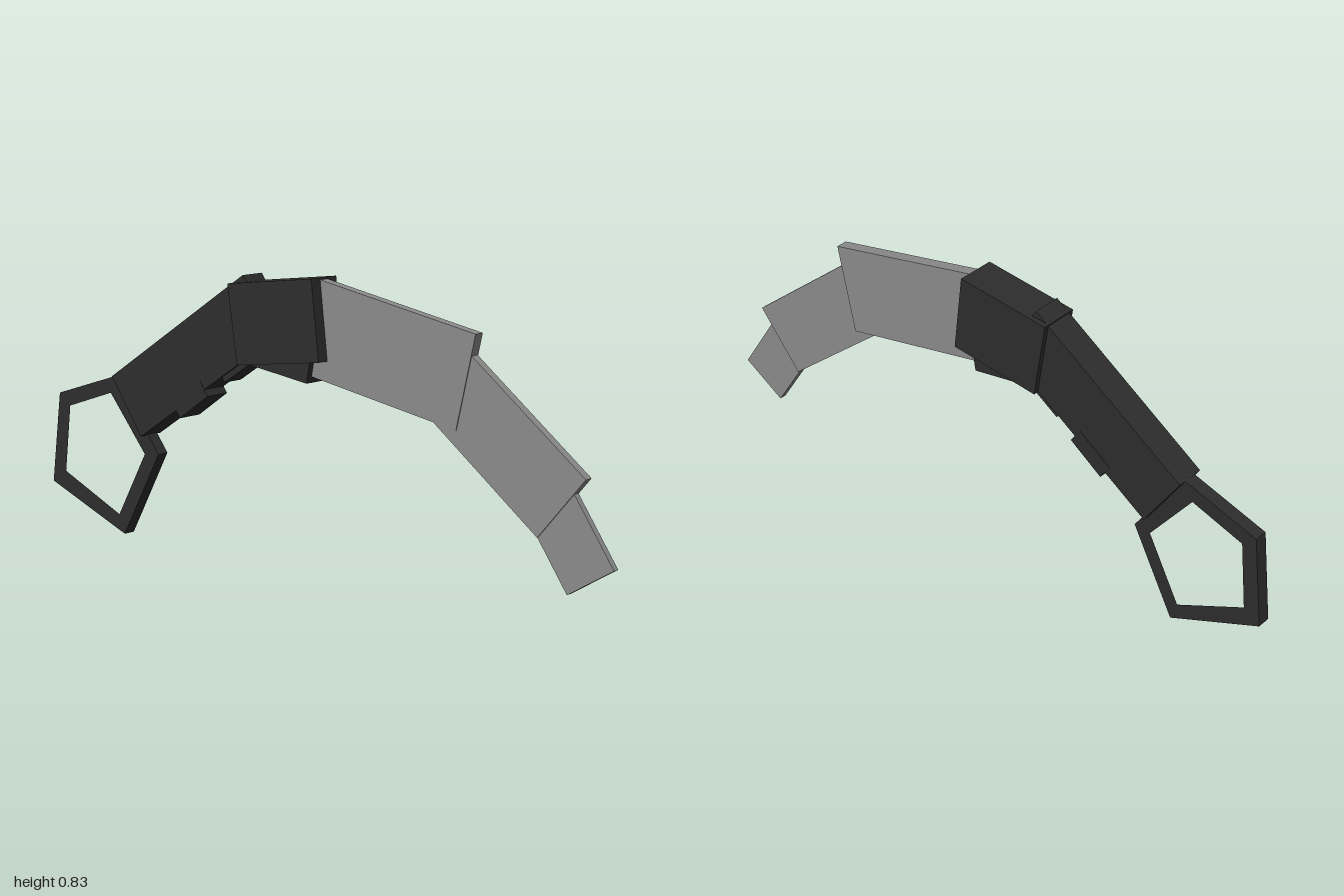
import * as THREE from 'three';

const steel = new THREE.MeshStandardMaterial({ color: 0x8c8c8c });
const dark = new THREE.MeshStandardMaterial({ color: 0x2d2d2d });

// Flat plate: a side outline of [z, y] points, given thickness across x
function plate(name, halfWidth, material, outline, hole) {
  const toPoints = (list) => list.map(([z, y]) => new THREE.Vector2(-z, y));
  const shape = new THREE.Shape(toPoints(outline));
  if (hole) shape.holes.push(new THREE.Path(toPoints(hole)));
  const geometry = new THREE.ExtrudeGeometry(shape, { depth: halfWidth * 2, bevelEnabled: false });
  geometry.translate(0, 0, -halfWidth);
  geometry.rotateY(Math.PI / 2);
  const mesh = new THREE.Mesh(geometry, material);
  mesh.name = name;
  return mesh;
}

export function createModel() {
  const model = new THREE.Group();
  model.name = 'curvedKnife';

  // Blade: three overlapping slabs, thinner towards the tip
  const blade = new THREE.Group();
  blade.name = 'blade';
  blade.add(
    plate('bladeBase', 0.018, steel, [[0.564, 0.711], [0.503, 0.44], [-0.02, 0.555], [0.037, 0.829]]),
    plate('bladeMiddle', 0.015, steel, [[0.912, 0.348], [0.765, 0.173], [0.37, 0.503], [0.515, 0.679]]),
    plate('bladeTip', 0.011, steel, [[1, 0.112], [0.858, 0.027], [0.719, 0.241], [0.861, 0.326]]),
  );

  // Guard block with a narrower piece below it
  const guard = new THREE.Group();
  guard.name = 'guard';
  guard.add(
    plate('guardBlock', 0.06, dark, [[0.04, 0.834], [0.066, 0.597], [-0.229, 0.567], [-0.263, 0.803]]),
    plate('guardUnderside', 0.038, dark, [[0.023, 0.62], [0.007, 0.53], [-0.223, 0.572], [-0.208, 0.655]]),
  );

  // Grip with two finger ridges on its lower edge
  const handle = new THREE.Group();
  handle.name = 'handle';
  handle.add(
    plate('grip', 0.045, dark, [[-0.218, 0.829], [-0.103, 0.655], [-0.614, 0.316], [-0.728, 0.491]]),
    plate('frontRidge', 0.038, dark, [[-0.218, 0.615], [-0.191, 0.575], [-0.293, 0.508], [-0.32, 0.548]]),
    plate('rearRidge', 0.046, dark, [[-0.381, 0.508], [-0.352, 0.462], [-0.459, 0.387], [-0.49, 0.434]]),
  );

  // Five-sided finger ring at the end of the grip
  const ring = plate('fingerRing', 0.021, dark,
    [[-0.724, 0.492], [-0.967, 0.417], [-1, 0.134], [-0.705, 0], [-0.566, 0.262]],
    [[-0.755, 0.435], [-0.924, 0.38], [-0.946, 0.171], [-0.726, 0.059], [-0.62, 0.258]]);

  model.add(blade, guard, handle, ring);
  return model;
}
